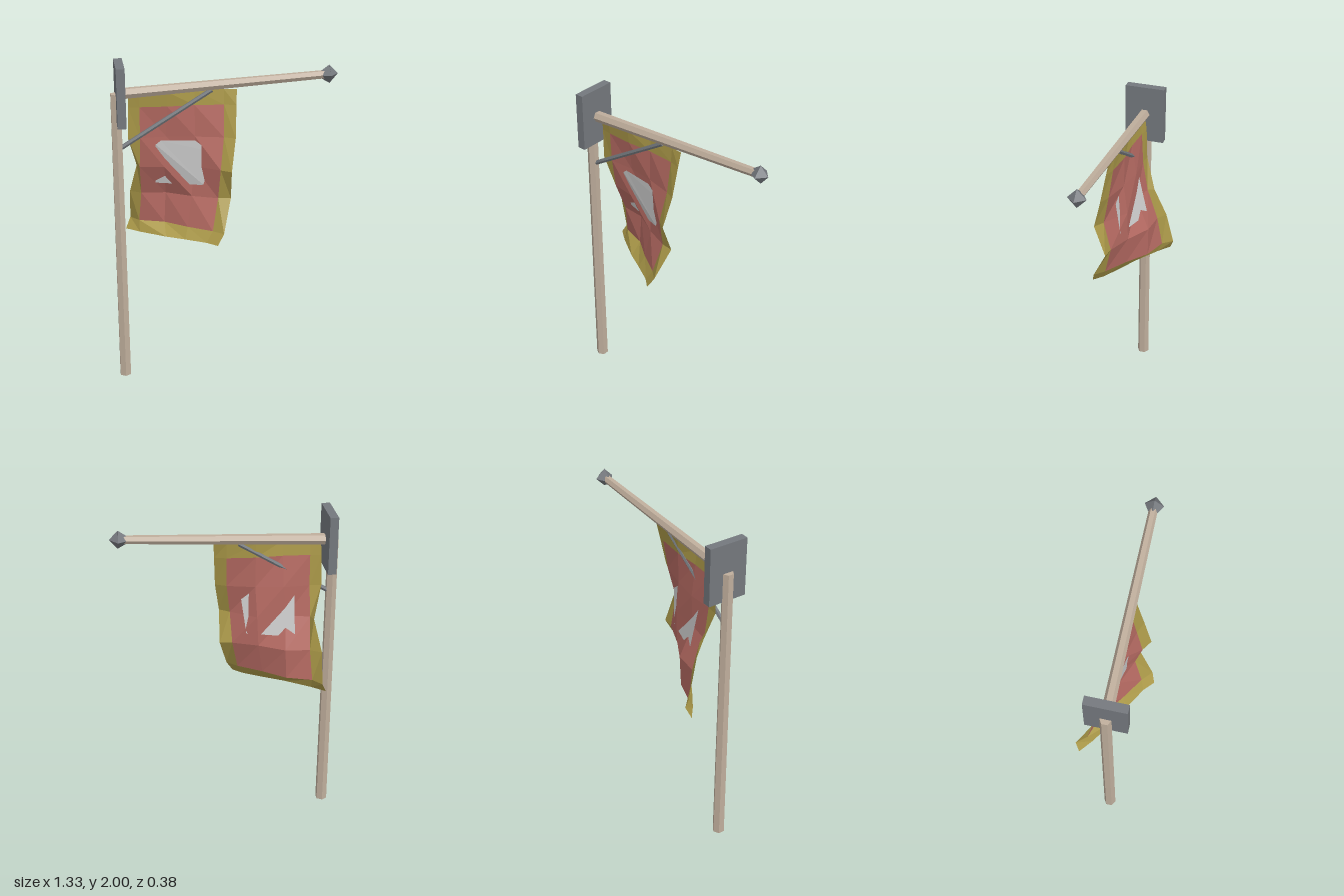
import * as THREE from 'three';

const mat = (color, side = THREE.FrontSide) =>
  new THREE.MeshStandardMaterial({ color, side, flatShading: true });

// Tapered bar of given number of sides running from a to b
function bar(name, a, b, r0, r1, sides, material) {
  const from = new THREE.Vector3(...a), to = new THREE.Vector3(...b);
  const dir = to.clone().sub(from);
  const mesh = new THREE.Mesh(new THREE.CylinderGeometry(r1, r0, dir.length(), sides), material);
  mesh.position.copy(from).add(to).multiplyScalar(0.5);
  mesh.quaternion.setFromUnitVectors(new THREE.Vector3(0, 1, 0), dir.normalize());
  mesh.name = name;
  return mesh;
}

// Cloth grid: height of each row, then x and z for each of the six columns
const rowY = [1.825, 1.735, 1.545, 1.355, 1.165, 0.975, 0.91];
const rowX = [
  [-0.56, -0.5, -0.34, -0.18, -0.01, 0.065],
  [-0.565, -0.5, -0.34, -0.18, -0.01, 0.06],
  [-0.57, -0.5, -0.345, -0.18, -0.015, 0.05],
  [-0.52, -0.505, -0.36, -0.19, -0.04, 0.02],
  [-0.56, -0.495, -0.35, -0.2, -0.05, 0.025],
  [-0.56, -0.51, -0.36, -0.23, -0.09, -0.03],
  [-0.59, -0.51, -0.36, -0.25, -0.13, -0.07],
];
const rowZ = [
  [0.01, 0.02, 0.03, 0.01, 0.02, 0.03],
  [0, 0.01, 0.02, 0.015, 0.03, 0.05],
  [-0.005, 0, -0.005, 0.02, 0.06, 0.09],
  [-0.07, -0.03, -0.005, 0, 0.1, 0.14],
  [-0.14, -0.1, -0.085, 0, 0.06, 0.07],
  [-0.19, -0.13, -0.08, 0.02, 0.11, 0.165],
  [-0.165, -0.1, 0, 0.06, 0.13, 0.185],
];

// Collects the grid cells accepted by keep(row, column) into one sheet
function cloth(name, keep, material) {
  const pos = [];
  const put = (r, c) => pos.push(rowX[r][c], rowY[r], rowZ[r][c]);
  for (let r = 0; r < 6; r++) {
    for (let c = 0; c < 5; c++) {
      if (!keep(r, c)) continue;
      put(r, c); put(r + 1, c); put(r + 1, c + 1);
      put(r, c); put(r + 1, c + 1); put(r, c + 1);
    }
  }
  const geo = new THREE.BufferGeometry();
  geo.setAttribute('position', new THREE.Float32BufferAttribute(pos, 3));
  geo.computeVertexNormals();
  const mesh = new THREE.Mesh(geo, material);
  mesh.name = name;
  return mesh;
}

export function createModel() {
  const group = new THREE.Group();
  group.name = 'bannerPole';
  const wood = mat(0xbfae9c), metal = mat(0x74787d);
  const z = 0.022;

  // Upright post, mounting plate and boom
  group.add(bar('post', [-0.635, 0, z], [-0.635, 1.825, z], 0.037, 0.033, 6, wood));
  const plate = new THREE.Mesh(new THREE.BoxGeometry(0.05, 0.35, 0.24), metal);
  plate.position.set(-0.61, 1.825, z);
  plate.name = 'mountingPlate';
  group.add(plate);
  group.add(bar('boom', [-0.6, 1.825, z], [0.59, 1.89, z], 0.033, 0.025, 6, wood));

  // Pointed end cap: short flare, then a tip
  group.add(bar('capFlare', [0.565, 1.888, z], [0.612, 1.891, z], 0.025, 0.055, 4, metal));
  group.add(bar('capTip', [0.612, 1.891, z], [0.662, 1.893, z], 0.055, 0, 4, metal));

  // Diagonal brace
  group.add(bar('brace', [-0.61, 1.5, z], [-0.08, 1.825, z], 0.014, 0.014, 6, metal));

  // Banner: red field with a yellow border
  const banner = new THREE.Group();
  banner.name = 'banner';
  const inField = (r, c) => r > 0 && r < 5 && c > 0 && c < 4;
  banner.add(cloth('bannerField', inField, mat(0xb56a62, THREE.DoubleSide)));
  banner.add(cloth('bannerBorder', (r, c) => !inField(r, c), mat(0xaa9848, THREE.DoubleSide)));

  // Plain patch, folded along its diagonal and partly sunk in the cloth
  const patchGeo = new THREE.BufferGeometry();
  patchGeo.setAttribute('position', new THREE.Float32BufferAttribute([
    -0.41, 1.5, 0.0, -0.38, 1.525, 0.005, -0.18, 1.525, 0.035, -0.1, 1.46, 0.045,
    -0.13, 1.24, 0.025, -0.41, 1.24, -0.06,
  ], 3));
  patchGeo.setIndex([1, 4, 3, 1, 3, 2, 0, 4, 1, 0, 5, 4]);
  patchGeo.computeVertexNormals();
  const patch = new THREE.Mesh(patchGeo, mat(0xcccccc, THREE.DoubleSide));
  patch.name = 'patch';
  banner.add(patch);
  group.add(banner);
  return group;
}
